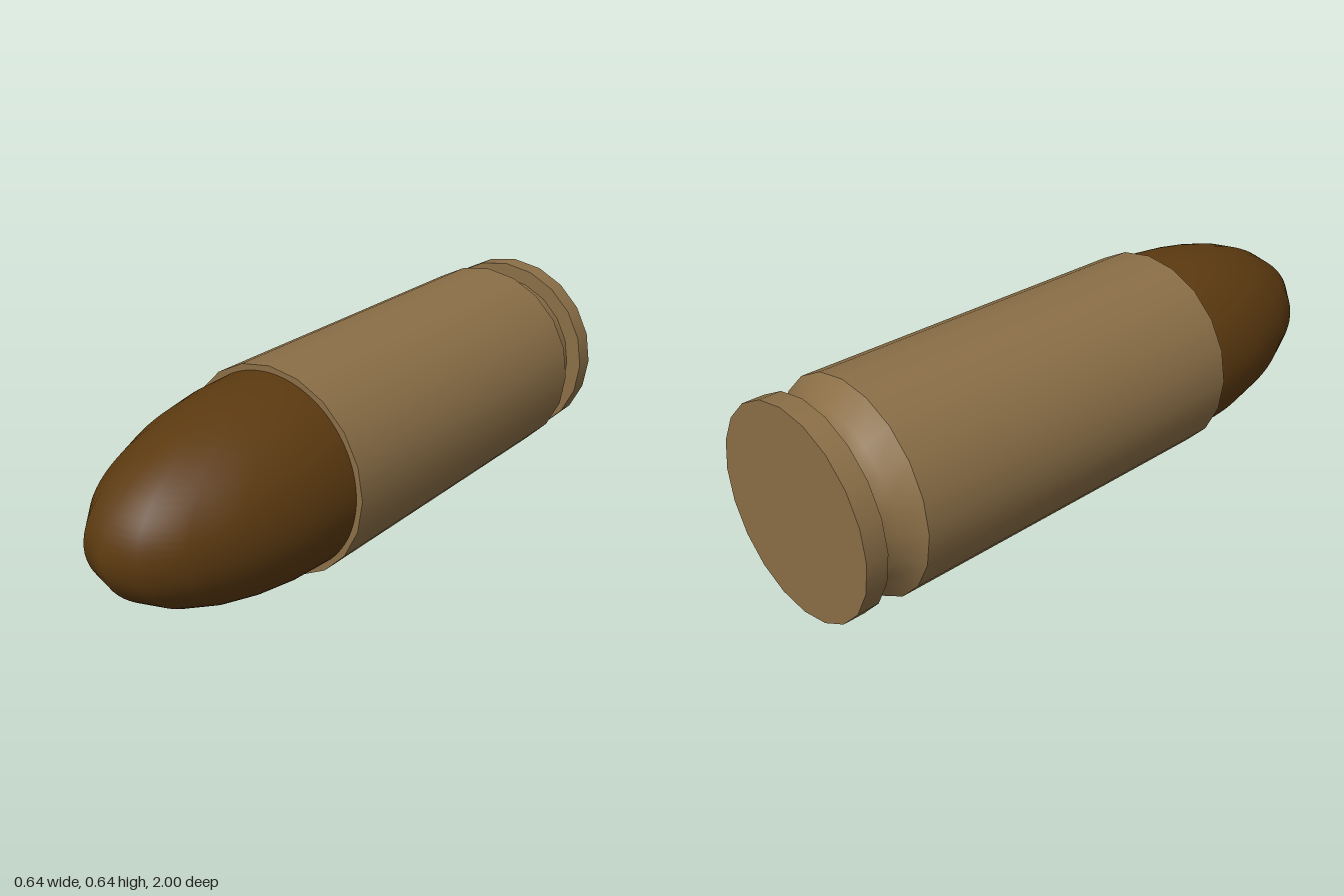
import * as THREE from 'three';

const SIDES = 20;
const CENTRE_Y = 0.32;

export function createModel() {
  const group = new THREE.Group();
  group.name = 'cartridge';

  const brass = new THREE.MeshStandardMaterial({ color: 0x8b6f47 });
  brass.name = 'brass';
  const copper = new THREE.MeshStandardMaterial({ color: 0x5c3a10 });
  copper.name = 'dark copper';

  // Turns a [radius, z] profile around the long axis, listed from back to front
  function turned(name, profile) {
    const points = profile.map(([r, z]) => new THREE.Vector2(r, z));
    const geometry = new THREE.LatheGeometry(points, SIDES).rotateX(Math.PI / 2);
    const mesh = new THREE.Mesh(geometry, brass);
    mesh.name = name;
    mesh.position.y = CENTRE_Y;
    group.add(mesh);
  }

  // Casing, split where its edges are sharp
  turned('baseFace', [[0, -1], [0.31, -1]]);
  turned('rim', [[0.31, -1], [0.31, -0.935]]);
  turned('rimFront', [[0.31, -0.935], [0.26, -0.935]]);
  turned('grooveAndShoulder', [[0.26, -0.935], [0.26, -0.87], [0.32, -0.815]]);
  turned('casingBody', [[0.32, -0.815], [0.32, 0.342]]);
  turned('casingMouth', [[0.32, 0.342], [0, 0.342]]);

  // Bullet: front half of a stretched sphere
  const tip = new THREE.SphereGeometry(1, SIDES / 2, 48, 0, Math.PI);
  tip.scale(0.3, 0.3, 0.658);
  const bullet = new THREE.Mesh(tip, copper);
  bullet.name = 'bullet';
  bullet.position.set(0, CENTRE_Y, 0.342);
  group.add(bullet);

  return group;
}
